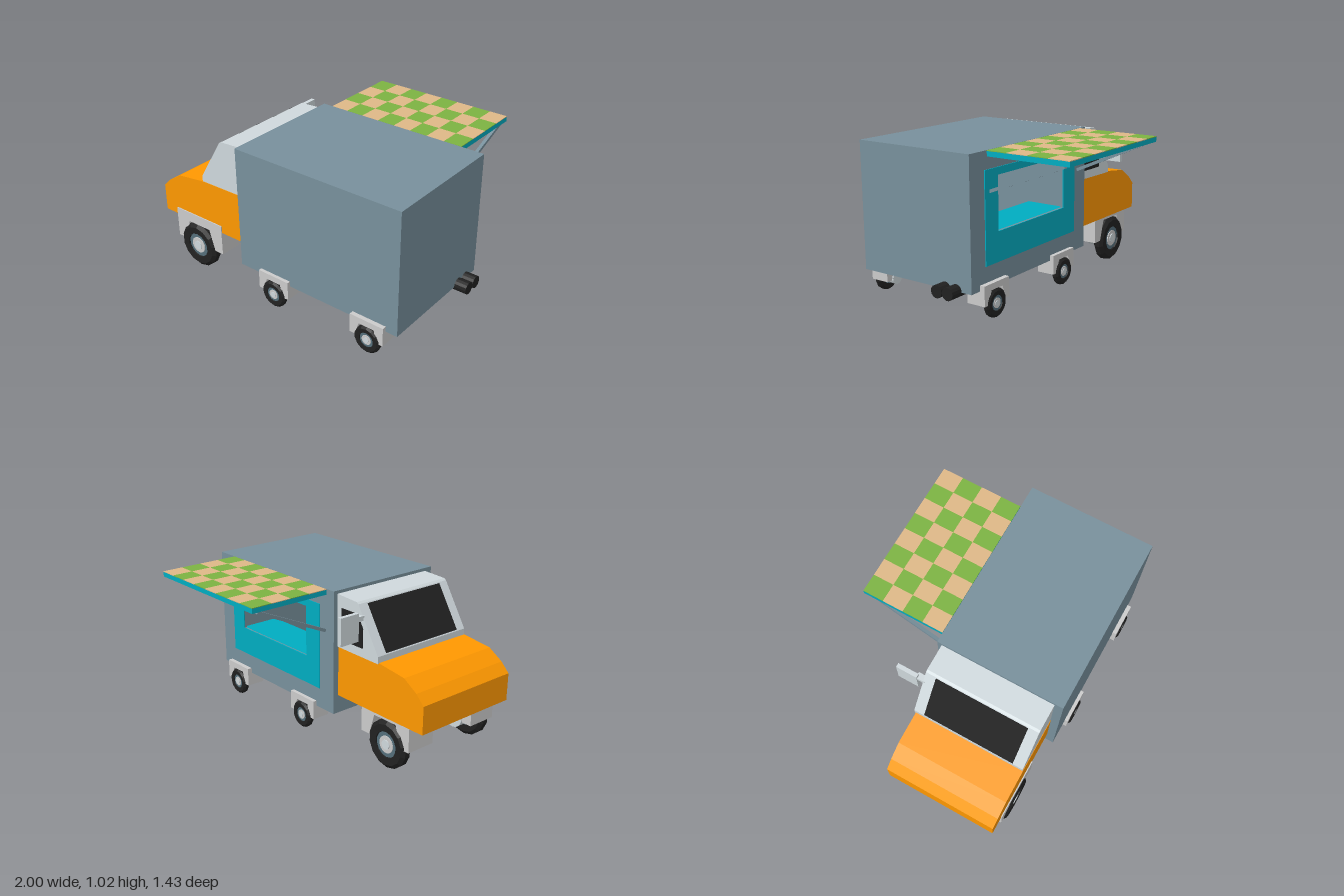
import * as THREE from 'three';

const mat = (color, side = THREE.FrontSide) =>
  new THREE.MeshStandardMaterial({ color, side, flatShading: true });

const M = {
  slate: mat(0x78909c), orange: mat(0xff9800), teal: mat(0x00acc1), cab: mat(0xcfd8dc),
  black: mat(0x212121), grey: mat(0xcccccc), green: mat(0x7cb342), tan: mat(0xdeb887),
  rim: mat(0x546e7a),
};

export function createModel() {
  const truck = new THREE.Group();
  truck.name = 'foodTruck';

  const add = (name, geometry, material, parent = truck) => {
    const mesh = new THREE.Mesh(geometry, material);
    mesh.name = name;
    parent.add(mesh);
    return mesh;
  };
  // Box given by its limits on each axis
  const box = (name, material, x0, x1, y0, y1, z0, z1, parent) => {
    const g = new THREE.BoxGeometry(x1 - x0, y1 - y0, z1 - z0);
    return add(name, g.translate((x0 + x1) / 2, (y0 + y1) / 2, (z0 + z1) / 2), material, parent);
  };
  // Side profile in x and y, pulled from z0 to z1, with an optional hole
  const points = (list) => list.map(([x, y]) => new THREE.Vector2(x, y));
  const profile = (name, material, list, z0, z1, hole, parent) => {
    const shape = new THREE.Shape(points(list));
    if (hole) shape.holes.push(new THREE.Path(points(hole)));
    const g = new THREE.ExtrudeGeometry(shape, { depth: z1 - z0, bevelEnabled: false });
    return add(name, g.translate(0, 0, z0), material, parent);
  };
  const rect = (x0, x1, y0, y1) => [[x0, y0], [x1, y0], [x1, y1], [x0, y1]];

  // Hollow cargo body with a serving hatch in the back wall
  const hatch = rect(-0.01, 0.67, 0.53, 0.865);
  const t = 0.015;
  box('bodyFloor', M.slate, -0.27, 0.92, 0.21, 0.21 + t, -0.16, 0.68);
  box('bodyRoof', M.slate, -0.27, 0.92, 1.02 - t, 1.02, -0.16, 0.68);
  box('bodyFrontWall', M.slate, -0.27, -0.27 + t, 0.21 + t, 1.02 - t, -0.16, 0.68);
  box('bodyRearWall', M.slate, 0.92 - t, 0.92, 0.21 + t, 1.02 - t, -0.16, 0.68);
  box('bodyPlainWall', M.slate, -0.27 + t, 0.92 - t, 0.21 + t, 1.02 - t, 0.68 - t, 0.68);
  profile('bodyHatchWall', M.slate, rect(-0.27 + t, 0.92 - t, 0.21 + t, 1.02 - t), -0.16, -0.16 + t, hatch);

  // Hatch surround, counter and header
  profile('hatchSurround', M.teal, rect(-0.14, 0.79, 0.345, 0.91), -0.166, -0.158, hatch);
  box('counter', M.teal, -0.03, 0.69, 0.505, 0.53, -0.15, 0.12);
  box('hatchHeader', M.teal, -0.03, 0.69, 0.865, 0.89, -0.15, 0.12);

  // Awning with a checkered top
  const awning = new THREE.Group();
  awning.name = 'awning';
  truck.add(awning);
  const [ax0, ax1, az0, az1] = [-0.205, 0.765, -0.715, -0.162];
  box('awningFrame', M.teal, ax0, ax1, 0.985, 1.016, az0, az1, awning);
  box('awningLining', M.slate, ax0 + 0.02, ax1 - 0.02, 0.981, 0.986, az0 + 0.02, az1, awning);
  const dx = (ax1 - ax0) / 8, dz = (az1 - az0) / 4;
  for (let i = 0; i < 8; i++) {
    for (let j = 0; j < 4; j++) {
      const x = ax0 + i * dx, z = az0 + j * dz;
      box('awningCheck', (i + j) % 2 ? M.tan : M.green, x, x + dx, 1.015, 1.02, z, z + dz, awning);
    }
  }
  // Struts holding up the awning
  for (const [x, y] of [[-0.185, 0.75], [0.74, 0.78]]) {
    const from = new THREE.Vector3(x, y, -0.16), to = new THREE.Vector3(x, 0.98, -0.67);
    const strut = add('awningStrut', new THREE.BoxGeometry(0.022, 0.02, from.distanceTo(to)), M.slate, awning);
    strut.position.copy(from).add(to).multiplyScalar(0.5);
    strut.lookAt(to);
  }

  // Lower cab with hood
  profile('hood', M.orange, [[-1, 0.33], [-0.27, 0.33], [-0.27, 0.665], [-0.63, 0.66],
    [-0.84, 0.633], [-0.94, 0.57], [-1, 0.51]], -0.122, 0.628);
  // Upper cab
  profile('upperCab', M.cab, [[-0.63, 0.655], [-0.27, 0.66], [-0.27, 1], [-0.44, 0.99],
    [-0.455, 0.98], [-0.63, 0.70]], -0.13, 0.625);
  // Windshield on the sloped front of the cab
  const slope = Math.atan2(0.28, 0.175);
  const windshield = add('windshield', new THREE.BoxGeometry(0.315, 0.008, 0.615), M.black);
  windshield.position.set(-0.5425, 0.84, 0.2475);
  windshield.rotation.z = slope;
  // Side window and mirror
  profile('sideWindow', M.black, [[-0.5, 0.715], [-0.31, 0.715], [-0.31, 0.92], [-0.45, 0.92], [-0.5, 0.84]],
    -0.134, -0.128);
  box('sideMirror', M.cab, -0.505, -0.478, 0.77, 0.945, -0.31, -0.17);
  box('mirrorArm', M.cab, -0.5, -0.46, 0.89, 0.92, -0.18, -0.12);

  // Wheel built around its own axle; outward is +z
  const wheel = (r, width, stub) => {
    const g = new THREE.Group();
    g.name = 'wheel';
    const h = width / 2;
    const lathe = (name, list, material) =>
      add(name, new THREE.LatheGeometry(points(list), 14).rotateX(Math.PI / 2), material, g);
    lathe('tyre', [[r * 0.55, -h * 0.9], [r * 0.85, -h], [r, -h * 0.5], [r, h * 0.5],
      [r * 0.85, h], [r * 0.55, h * 0.9], [r * 0.53, h * 0.4]], M.black);
    const disc = (name, radius, z0, z1, material) =>
      add(name, new THREE.CylinderGeometry(radius, radius, z1 - z0, 14)
        .rotateX(Math.PI / 2).translate(0, 0, (z0 + z1) / 2), material, g);
    disc('rim', r * 0.56, -h * 0.85, h * 0.65, M.rim);
    disc('hub', r * 0.36, 0, h * 0.8, M.grey);
    disc('hubCap', r * 0.2, 0, h * 0.95, M.cab);
    disc('axleStub', r * 0.45, -h - stub, -h * 0.5, M.cab);
    return g;
  };

  // Wheels and arched fenders, mirrored about the long axis of the truck
  const axles = [
    { x: -0.69, wx: -0.71, r: 0.157, y: 0.157, w: 0.075, half: 0.203, y0: 0.17, y1: 0.38, zIn: 0.43, zOut: 0.635, zw: 0.61, stub: 0.1 },
    { x: 0.013, wx: 0.015, r: 0.09, y: 0.115, w: 0.045, half: 0.117, y0: 0.12, y1: 0.245, zIn: 0.58, zOut: 0.702, zw: 0.69, stub: 0.07 },
    { x: 0.725, wx: 0.73, r: 0.09, y: 0.115, w: 0.045, half: 0.117, y0: 0.12, y1: 0.245, zIn: 0.58, zOut: 0.708, zw: 0.694, stub: 0.07 },
  ];
  const mid = 0.258;
  for (const a of axles) {
    const top = a.y0 + (a.y1 - a.y0) * 0.68;
    const arch = [[-1, a.y0], [-1, a.y1], [1, a.y1], [1, a.y0], [0.66, a.y0], [0.45, top], [-0.45, top], [-0.66, a.y0]]
      .map(([u, y]) => [a.x + u * a.half, y]);
    for (const s of [1, -1]) {
      const z0 = mid + s * (a.zIn - mid), z1 = mid + s * (a.zOut - mid);
      profile('fender', M.grey, arch, Math.min(z0, z1), Math.max(z0, z1));
      const w = wheel(a.r, a.w, a.stub);
      w.position.set(a.wx, a.y, mid + s * (a.zw - mid));
      if (s < 0) w.rotation.y = Math.PI;
      truck.add(w);
    }
  }

  // Twin exhaust pipes at the rear
  for (const z of [0.035, -0.047]) {
    add('exhaustPipe', new THREE.CylinderGeometry(0.04, 0.04, 0.14, 14)
      .rotateZ(Math.PI / 2).translate(0.93, 0.215, z), M.black);
  }

  return truck;
}
